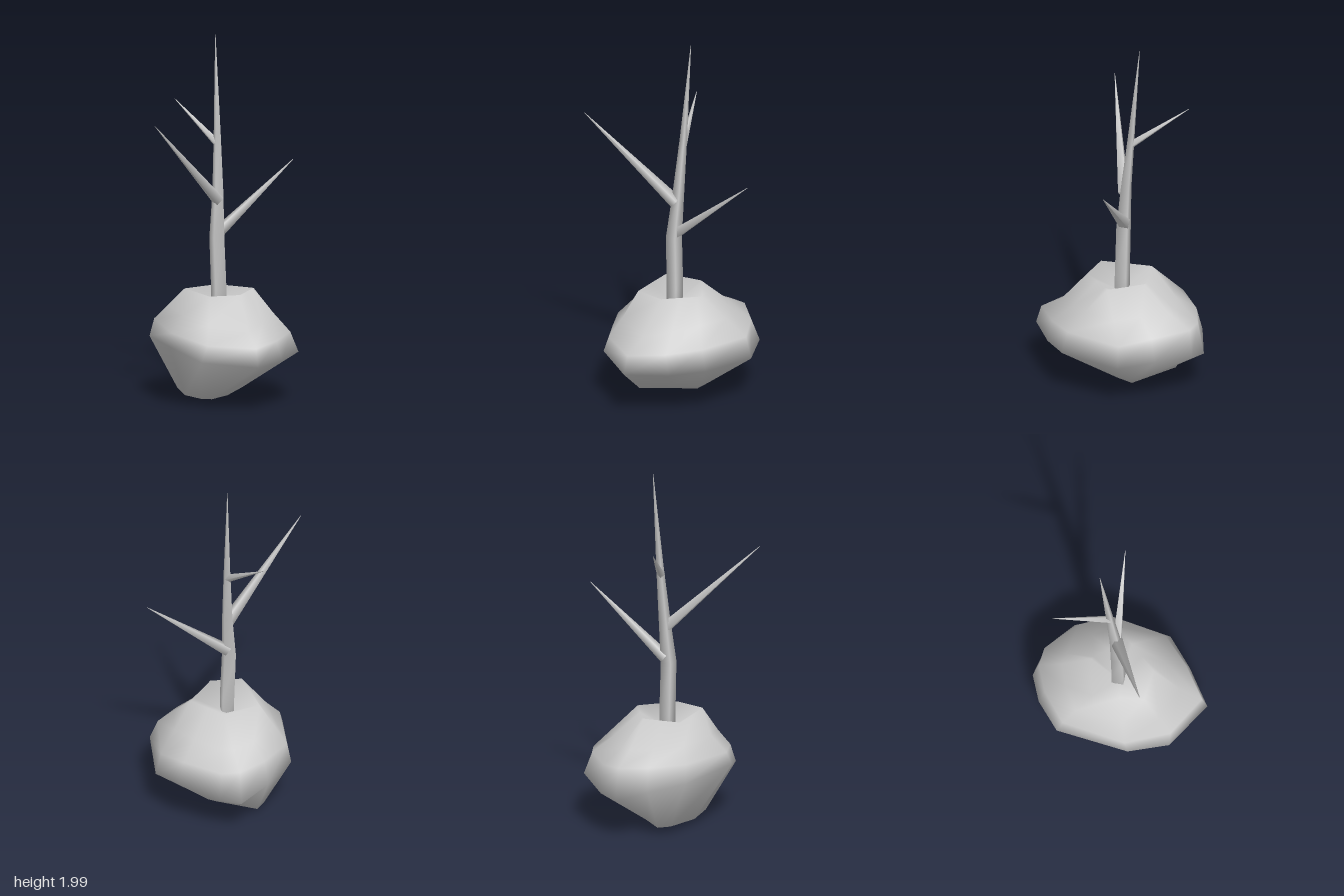
import * as THREE from 'three';

// Skin a stack of equal-length rings, closing both ends with a centre point
function loft(rings, start, end) {
  const n = rings[0].length;
  const pos = [...rings.flat(), start, end].flat();
  const first = rings.length * n, last = first + 1;
  const top = (rings.length - 1) * n;
  const index = [];
  for (let i = 0; i < n; i++) {
    const j = (i + 1) % n;
    index.push(first, j, i, last, top + i, top + j);
    for (let r = 0; r < rings.length - 1; r++) {
      const a = r * n + i, b = r * n + j;
      index.push(a, b, b + n, a, b + n, a + n);
    }
  }
  const geo = new THREE.BufferGeometry();
  geo.setAttribute('position', new THREE.Float32BufferAttribute(pos, 3));
  geo.setIndex(index);
  geo.computeVertexNormals();
  return geo;
}

// Tapered four-sided limb through points [x, y, z, half width]
function limb(points) {
  const centres = points.map(p => new THREE.Vector3(p[0], p[1], p[2]));
  const rings = points.map((p, k) => {
    const dir = centres[Math.min(k + 1, points.length - 1)].clone()
      .sub(centres[Math.max(k - 1, 0)]).normalize();
    const u = new THREE.Vector3(0, 0, 1).addScaledVector(dir, -dir.z).normalize();
    const v = dir.clone().cross(u);
    return [[1, 1], [-1, 1], [-1, -1], [1, -1]].map(([a, b]) => centres[k].clone()
      .addScaledVector(u, a * p[3]).addScaledVector(v, b * p[3]).toArray());
  });
  return loft(rings, centres[0].toArray(), centres.at(-1).toArray());
}

export function createModel() {
  const group = new THREE.Group();
  const material = new THREE.MeshStandardMaterial({ color: 0xcccccc });
  const add = (name, geo) => {
    const mesh = new THREE.Mesh(geo, material);
    mesh.name = name;
    group.add(mesh);
  };

  // Boulder: rings run from the front round by +x, listed from base to rim
  const base = [
    [-.11, .035, .165], [.03, .06, .1], [.15, .05, -.03], [.16, .05, -.1],
    [.14, .05, -.14], [.1, .05, -.17], [0, .045, -.22], [-.1, .035, -.275],
    [-.15, .035, -.22], [-.185, .03, -.03], [-.16, .035, .13],
  ];
  const waist = [
    [.03, .25, .48], [.23, .25, .345], [.38, .27, .21], [.43, .25, -.125],
    [.345, .28, -.31], [.15, .24, -.455], [.04, .22, -.485], [-.125, .28, -.42],
    [-.285, .32, -.29], [-.335, .33, .11], [-.235, .27, .32],
  ];
  const shoulder = [
    [.03, .35, .45], [.2, .36, .33], [.34, .38, .19], [.4, .37, -.12],
    [.31, .4, -.28], [.14, .4, -.44], [.04, .4, -.45], [-.11, .41, -.39],
    [-.27, .42, -.26], [-.315, .4, .09], [-.2, .36, .32],
  ];
  const rim = [
    [.05, .6, .18], [.12, .6, .1], [.18, .6, .035], [.2, .6, .01],
    [.13, .6, -.08], [.07, .6, -.155], [.055, .6, -.165], [-.045, .6, -.145],
    [-.15, .6, -.12], [-.135, .6, .03], [-.12, .6, .16],
  ];
  // Slight hollow just above the shoulder, at the front and the back only
  const sag = [.04, .02, 0, 0, .01, .025, .025, .02, 0, 0, 0.01];
  const slope = shoulder.map((p, i) => {
    const [x, y, z] = p.map((c, k) => c + (rim[i][k] - c) * 0.45);
    return [x, y - sag[i], z];
  });
  // The top dips to a hollow around the trunk
  add('boulder', loft([base, waist, shoulder, slope, rim], [.09, 0, -.09], [0, .5, 0]));

  // Slightly bent trunk ending in a point
  add('trunk', limb([
    [.002, .45, -.004, .032], [.002, .6, -.004, .032], [-.008, .89, -.008, .031],
    [.006, 1.13, -.027, .023], [.016, 1.45, -.06, .0145], [.027, 1.985, -.112, .001],
  ]));

  // Bare side branches: base point and half width, then tip
  const branches = {
    leftBranch: [[.005, .915, -.018, .025], [.46, 1.28, -.055, .001]],
    rightBranch: [[0, 1.095, -.012, .026], [-.46, 1.57, .2, .001]],
    backBranch: [[.012, 1.4, -.055, .016], [-.115, 1.605, -.345, .001]],
  };
  for (const [name, points] of Object.entries(branches)) add(name, limb(points));

  return group;
}
